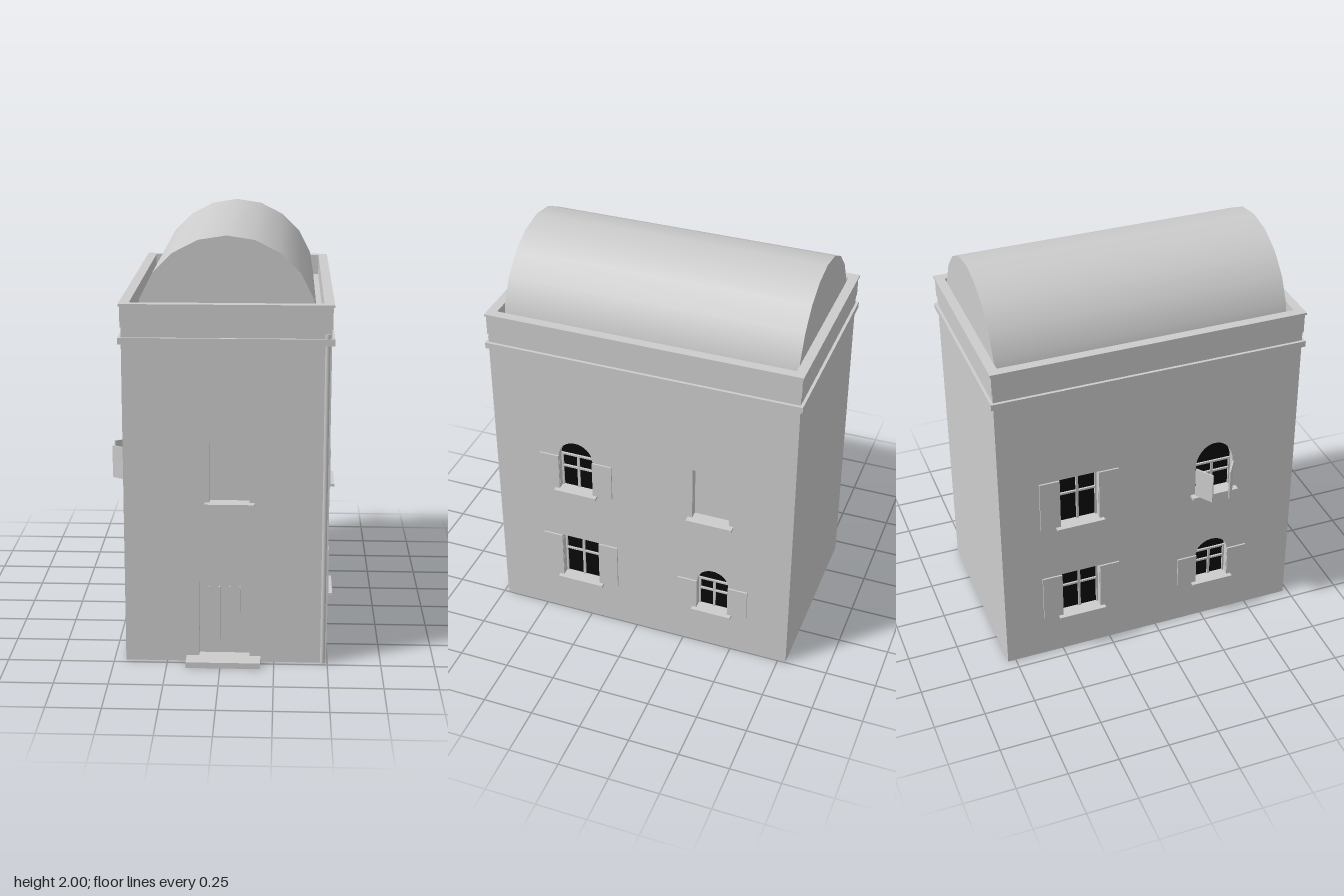
import * as THREE from 'three';

const stone = new THREE.MeshStandardMaterial({ color: 0xcccccc });
stone.name = 'pale stone';
const dark = new THREE.MeshStandardMaterial({ color: 0x0a0a0a });
dark.name = 'dark glass';

// Outer wall planes and wall thickness
const X0 = -0.445, X1 = 0.497, Z0 = -0.79, Z1 = 0.725, T = 0.04, WALL_TOP = 1.6;
const CX = (X0 + X1) / 2, CZ = (Z0 + Z1) / 2;

function add(parent, name, geometry, material = stone) {
  const mesh = new THREE.Mesh(geometry, material);
  mesh.name = name;
  parent.add(mesh);
  return mesh;
}

// Box given by its minimum and maximum corners
function block(parent, name, a, b, material = stone) {
  const mesh = add(parent, name, new THREE.BoxGeometry(b[0] - a[0], b[1] - a[1], b[2] - a[2]), material);
  mesh.position.set((a[0] + b[0]) / 2, (a[1] + b[1]) / 2, (a[2] + b[2]) / 2);
  return mesh;
}

// Outline of an opening; arched when the spring lies below the top
function outline(target, { u0, u1, y0, y1, spring = y1 }) {
  target.moveTo(u0, y0);
  target.lineTo(u1, y0);
  target.lineTo(u1, spring);
  if (spring < y1) target.absellipse((u0 + u1) / 2, spring, (u1 - u0) / 2, y1 - spring, 0, Math.PI, false, 0);
  else target.lineTo(u0, y1);
  target.closePath();
  return target;
}

// Wall panel whose outer face is local z = 0
function wall(parent, name, u0, u1, openings) {
  const shape = outline(new THREE.Shape(), { u0, u1, y0: 0, y1: WALL_TOP });
  openings.forEach(o => shape.holes.push(outline(new THREE.Path(), o)));
  const geometry = new THREE.ExtrudeGeometry(shape, { depth: T, bevelEnabled: false, curveSegments: 8 });
  add(parent, name, geometry.translate(0, 0, -T));
}

function sill(parent, o) {
  block(parent, 'sill', [o.u0 - 0.022, o.y0 - 0.013, -0.01], [o.u1 + 0.022, o.y0, 0.032]);
}

// Dark pane, glazing bars, sill and a pair of shutters
function windowUnit(parent, o) {
  const g = new THREE.Group();
  g.name = 'window';
  parent.add(g);
  const spring = o.spring ?? o.y1, mid = (o.u0 + o.u1) / 2, zb = -T + 0.006;
  const pane = new THREE.ShapeGeometry(outline(new THREE.Shape(), o), 8);
  add(g, 'pane', pane.translate(0, 0, -T + 0.003), dark);
  const bar = (a, b, c, d) => block(g, 'glazingBar', [a, b, zb - 0.004], [c, d, zb + 0.006]);
  const barY = o.y0 + (spring - o.y0) * 0.6;
  bar(mid - 0.006, o.y0, mid + 0.006, spring);
  bar(o.u0, barY - 0.005, o.u1, barY + 0.005);
  bar(o.u0, spring - 0.01, o.u1, spring);
  bar(o.u0, o.y0, o.u0 + 0.009, spring);
  bar(o.u1 - 0.009, o.y0, o.u1, spring);
  sill(g, o);
  const w = 0.1, h = (o.shutterTop ?? spring) - o.y0;
  for (const s of [-1, 1]) {
    const hinge = new THREE.Group();
    hinge.name = 'shutter';
    hinge.position.set(s < 0 ? o.u0 : o.u1, o.y0 + h / 2, 0.006);
    hinge.rotation.y = -s * (o.swing ?? 0);
    g.add(hinge);
    add(hinge, 'shutterLeaf', new THREE.BoxGeometry(w, h, 0.008)).position.x = s * w / 2;
  }
}

function facade(parent, name, x, z, turn) {
  const g = new THREE.Group();
  g.name = name;
  g.position.set(x, 0, z);
  g.rotation.y = turn;
  parent.add(g);
  return g;
}

// Rectangular ring around the house, grown outward by "out"
function ring(parent, name, out, inner, y0, y1) {
  const rect = (target, d) => outline(target, { u0: X0 - d, u1: X1 + d, y0: -Z1 - d, y1: -Z0 + d });
  const shape = rect(new THREE.Shape(), out);
  shape.holes.push(rect(new THREE.Path(), -inner));
  const geometry = new THREE.ExtrudeGeometry(shape, { depth: y1 - y0, bevelEnabled: false });
  add(parent, name, geometry.rotateX(-Math.PI / 2).translate(0, y0, 0));
}

export function createModel() {
  const house = new THREE.Group();
  house.name = 'house';

  // Core behind the wall panels, also the back wall and the gutter floor
  block(house, 'core', [X0 + T, 0, Z0], [X1 - T, WALL_TOP, Z1 - T]);

  // Wall on +x: local u = -z
  const a = facade(house, 'leftFacade', X1, 0, Math.PI / 2);
  const blind = { u0: 0.29, u1: 0.475, y0: 0.782, y1: 1.065 };
  const leftWindows = [
    { u0: -0.395, u1: -0.22, y0: 0.782, y1: 1.065, spring: 0.975 },
    { u0: -0.395, u1: -0.2, y0: 0.228, y1: 0.48 },
    { u0: 0.32, u1: 0.48, y0: 0.228, y1: 0.475, spring: 0.395 },
  ];
  wall(a, 'leftWall', -Z1, -Z0, [blind, ...leftWindows]);
  leftWindows.forEach(o => windowUnit(a, o));
  sill(a, blind);

  // Wall on -x: local u = z
  const b = facade(house, 'rightFacade', X0, 0, -Math.PI / 2);
  const rightWindows = [
    { u0: -0.495, u1: -0.3, y0: 0.782, y1: 1.05 },
    { u0: -0.495, u1: -0.3, y0: 0.228, y1: 0.48 },
    { u0: 0.2, u1: 0.395, y0: 0.782, y1: 1.065, spring: 0.94, swing: 2.15 },
    { u0: 0.215, u1: 0.385, y0: 0.228, y1: 0.475, spring: 0.395 },
  ];
  wall(b, 'rightWall', Z0, Z1, rightWindows);
  rightWindows.forEach(o => windowUnit(b, o));

  // Front wall with doorway and blind window
  const f = facade(house, 'frontFacade', 0, Z1, 0);
  const door = { u0: -0.1, u1: 0.135, y0: 0.028, y1: 0.5, spring: 0.39 };
  const frontBlind = { u0: -0.05, u1: 0.133, y0: 0.782, y1: 1.065 };
  wall(f, 'frontWall', X0 + T, X1 - T, [door, frontBlind]);
  sill(f, frontBlind);
  for (let i = 0; i < 4; i++) {
    const u = -0.055 + i * 0.048;
    block(f, 'doorBatten', [u - 0.004, 0.09, -T], [u + 0.004, 0.36, -T + 0.009]);
  }
  block(f, 'doorStep', [-0.16, 0, -0.01], [0.187, 0.028, 0.085]);

  // Drainpipe on the front corner
  const pipe = add(house, 'drainpipe', new THREE.CylinderGeometry(0.011, 0.011, 1.57, 8));
  pipe.position.set(0.478, 0.785, Z1 + 0.001);

  // Cornice and parapet
  ring(house, 'cornice', 0.014, 0.02, 1.52, 1.55);
  ring(house, 'parapet', 0.004, 0.036, 1.595, 1.692);
  ring(house, 'coping', 0.01, 0.036, 1.692, 1.702);

  // Barrel roof: smooth half cylinder lying along z, with end gables
  const R = 0.41, L = 1.425;
  const vault = new THREE.CylinderGeometry(R, R, L, 10, 1, true, Math.PI / 2, Math.PI);
  add(house, 'barrelRoof', vault.rotateX(Math.PI / 2)).position.set(CX, 1.59, -0.042);
  for (const s of [-1, 1]) {
    const gable = add(house, 'roofGable', new THREE.CircleGeometry(R, 10, 0, Math.PI));
    gable.position.set(CX, 1.59, -0.042 + s * L / 2);
    gable.rotation.y = s < 0 ? Math.PI : 0;
  }
  return house;
}
